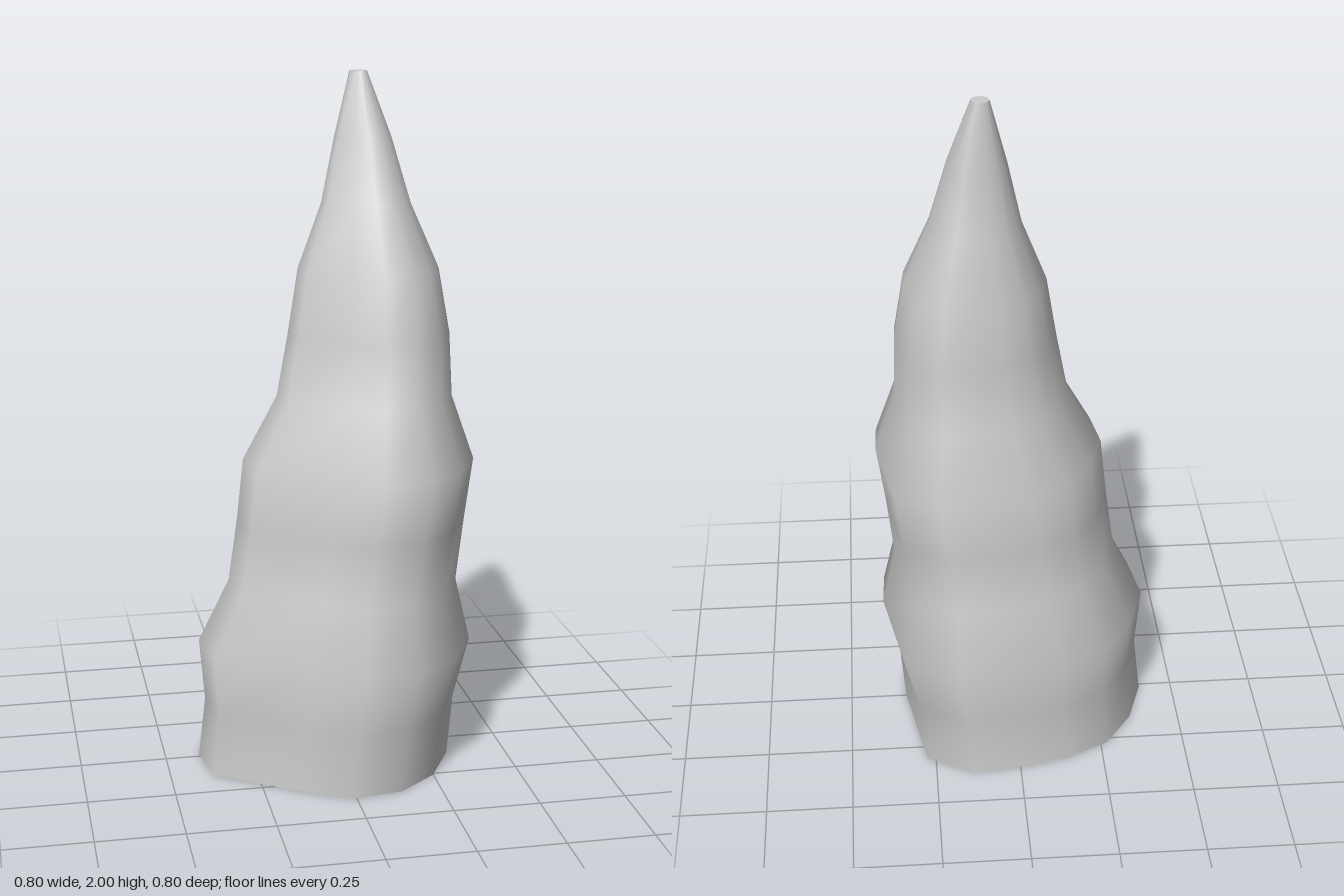
import * as THREE from 'three';

// Shared lumpy cross-section [x, z], counter-clockwise from above, scaled to each ring
const OUTLINE = [
  [0.47, -1], [0.05, -0.96], [-0.31, -0.88], [-0.64, -0.72], [-0.87, -0.41],
  [-1, -0.03], [-0.94, 0.38], [-0.31, 0.8], [0.06, 1], [0.47, 0.95],
  [0.78, 0.7], [0.99, 0.31], [1, 0], [0.85, -0.81],
];

// Evenly spaced rings from ground to tip: [xMin, xMax, zMin, zMax]
const RINGS = [
  [-0.4, 0.33, -0.375, 0.37],
  [-0.38, 0.345, -0.365, 0.37],
  [-0.395, 0.39, -0.395, 0.4],
  [-0.305, 0.35, -0.335, 0.34],
  [-0.28, 0.37, -0.325, 0.345],
  [-0.26, 0.395, -0.325, 0.345],
  [-0.16, 0.335, -0.255, 0.265],
  [-0.125, 0.33, -0.235, 0.225],
  [-0.095, 0.3, -0.215, 0.19],
  [-0.025, 0.225, -0.155, 0.1],
  [0.015, 0.175, -0.125, 0.035],
  [0.062, 0.112, -0.088, -0.038],
];
const HEIGHT = 2;

function ringPoints([x0, x1, z0, z1], level) {
  const y = (HEIGHT * level) / (RINGS.length - 1);
  const isTip = level === RINGS.length - 1;
  return OUTLINE.map(([u, v]) => {
    const r = isTip ? Math.hypot(u, v) : 1; // the tip is round
    return new THREE.Vector3(
      (x0 + x1) / 2 + ((x1 - x0) / 2) * (u / r), y,
      (z0 + z1) / 2 + ((z1 - z0) / 2) * (v / r));
  });
}

// Smooth skin joining consecutive rings
function skinGeometry(rings) {
  const n = OUTLINE.length;
  const index = [];
  for (let j = 0; j < rings.length - 1; j++) {
    for (let i = 0; i < n; i++) {
      const a = j * n + i, b = j * n + (i + 1) % n;
      index.push(a, b, b + n, a, b + n, a + n);
    }
  }
  const geometry = new THREE.BufferGeometry().setFromPoints(rings.flat());
  geometry.setIndex(index);
  geometry.computeVertexNormals();
  return geometry;
}

// Flat fan closing a ring
function capGeometry(ring, facesUp) {
  const n = ring.length;
  const centre = ring.reduce((sum, p) => sum.add(p), new THREE.Vector3()).divideScalar(n);
  const index = [];
  for (let i = 0; i < n; i++) {
    const next = (i + 1) % n;
    index.push(n, facesUp ? i : next, facesUp ? next : i);
  }
  const geometry = new THREE.BufferGeometry().setFromPoints([...ring, centre]);
  geometry.setIndex(index);
  geometry.computeVertexNormals();
  return geometry;
}

export function createModel() {
  const group = new THREE.Group();
  group.name = 'stalagmite';
  const material = new THREE.MeshStandardMaterial({ color: 0xcccccc });
  const rings = RINGS.map(ringPoints);
  const add = (name, geometry) => {
    const mesh = new THREE.Mesh(geometry, material);
    mesh.name = name;
    group.add(mesh);
  };
  add('rockBody', skinGeometry(rings));
  add('base', capGeometry(rings[0], false));
  add('tip', capGeometry(rings[rings.length - 1], true));
  return group;
}
